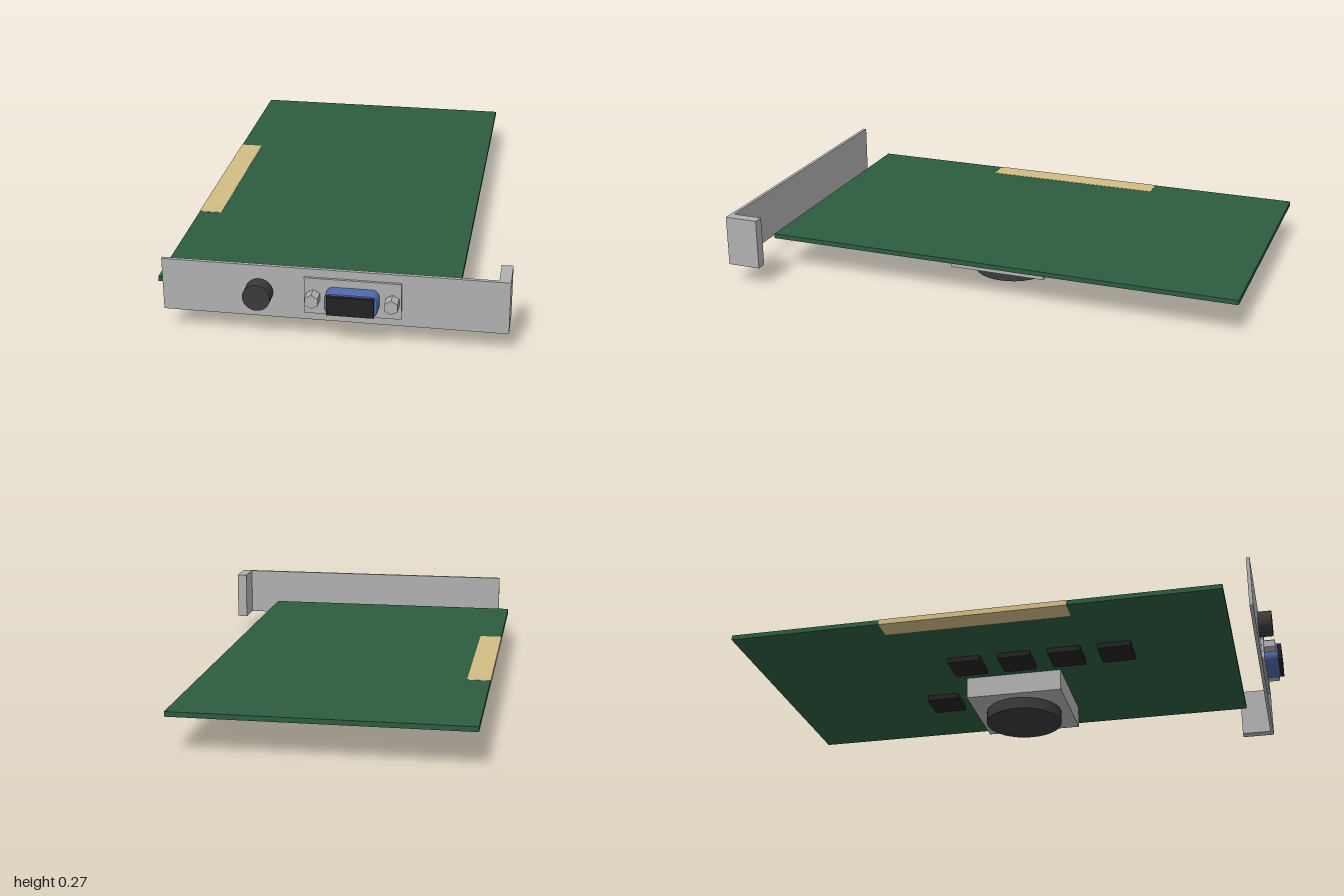
import * as THREE from 'three';

const mat = (color) => new THREE.MeshStandardMaterial({ color });
const GREEN = mat(0x2d5c40), GOLD = mat(0xd2bd84), METAL = mat(0xb0b0b0);
const BLACK = mat(0x222222), DARK = mat(0x3a3a3a), BLUE = mat(0x4f69ad);

export function createModel() {
  const model = new THREE.Group();

  const add = (name, geometry, material) => {
    const mesh = new THREE.Mesh(geometry, material);
    mesh.name = name;
    model.add(mesh);
    return mesh;
  };

  // Box given by its limits on each axis
  const box = (name, material, [x0, x1], [y0, y1], [z0, z1]) => {
    const geometry = new THREE.BoxGeometry(x1 - x0, y1 - y0, z1 - z0);
    geometry.translate((x0 + x1) / 2, (y0 + y1) / 2, (z0 + z1) / 2);
    return add(name, geometry, material);
  };

  // Cylinder lying along z between two limits
  const rod = (name, material, x, y, radius, [z0, z1], sides) => {
    const geometry = new THREE.CylinderGeometry(radius, radius, z1 - z0, sides);
    geometry.rotateX(Math.PI / 2).translate(x, y, (z0 + z1) / 2);
    return add(name, sides > 6 ? geometry : geometry.toNonIndexed(), material);
  };

  // Circuit board and its edge contacts
  box('circuitBoard', GREEN, [-0.62, 0.435], [0.13, 0.148], [-1, 0.83]);
  box('edgeContacts', GOLD, [-0.621, -0.535], [0.129, 0.149], [-0.425, 0.275]);

  // Mounting bracket with its bent end
  box('bracketPlate', METAL, [-0.573, 0.617], [0.078, 0.27], [0.915, 0.928]);
  box('bracketLip', METAL, [0.577, 0.617], [0.078, 0.27], [0.8, 0.915]);

  // Round jack
  rod('roundJack', DARK, -0.234, 0.172, 0.048, [0.92, 0.98], 32);

  // Video port: flange, rounded shell, dark core and two hex screws
  box('portFlange', METAL, [-0.077, 0.255], [0.107, 0.24], [0.926, 0.937]);
  const w = 0.085, h = 0.034, r = 0.02;
  const outline = new THREE.Shape();
  outline.absarc(w - r, h - r, r, 0, Math.PI / 2);
  outline.absarc(r - w, h - r, r, Math.PI / 2, Math.PI);
  outline.absarc(r - w, r - h, r, Math.PI, Math.PI * 1.5);
  outline.absarc(w - r, r - h, r, Math.PI * 1.5, Math.PI * 2);
  const shell = new THREE.ExtrudeGeometry(outline, {
    depth: 0.046, bevelThickness: 0.006, bevelSize: 0.006, bevelSegments: 2, curveSegments: 6,
  });
  add('portShell', shell, BLUE).position.set(0.09, 0.172, 0.935);
  box('portCore', BLACK, [0.01, 0.17], [0.138, 0.206], [0.94, 1]);
  for (const x of [-0.045, 0.225]) {
    rod('hexScrew', METAL, x, 0.172, 0.026, [0.93, 0.98], 6).geometry.computeVertexNormals();
  }

  // Heat sink and fan under the board
  box('heatSink', METAL, [-0.1, 0.28], [0.046, 0.13], [-0.227, 0.15]);
  const fan = add('fan', new THREE.CylinderGeometry(0.15, 0.15, 0.046, 32), DARK);
  fan.position.set(0.09, 0.023, -0.038);

  // Memory chips under the board
  const chips = [[0.09, -0.363], [-0.23, -0.19], [-0.23, 0.005], [-0.23, 0.2], [-0.23, 0.392]];
  for (const [x, z] of chips) {
    box('memoryChip', BLACK, [x - 0.063, x + 0.063], [0.109, 0.13], [z - 0.063, z + 0.063]);
  }
  return model;
}
